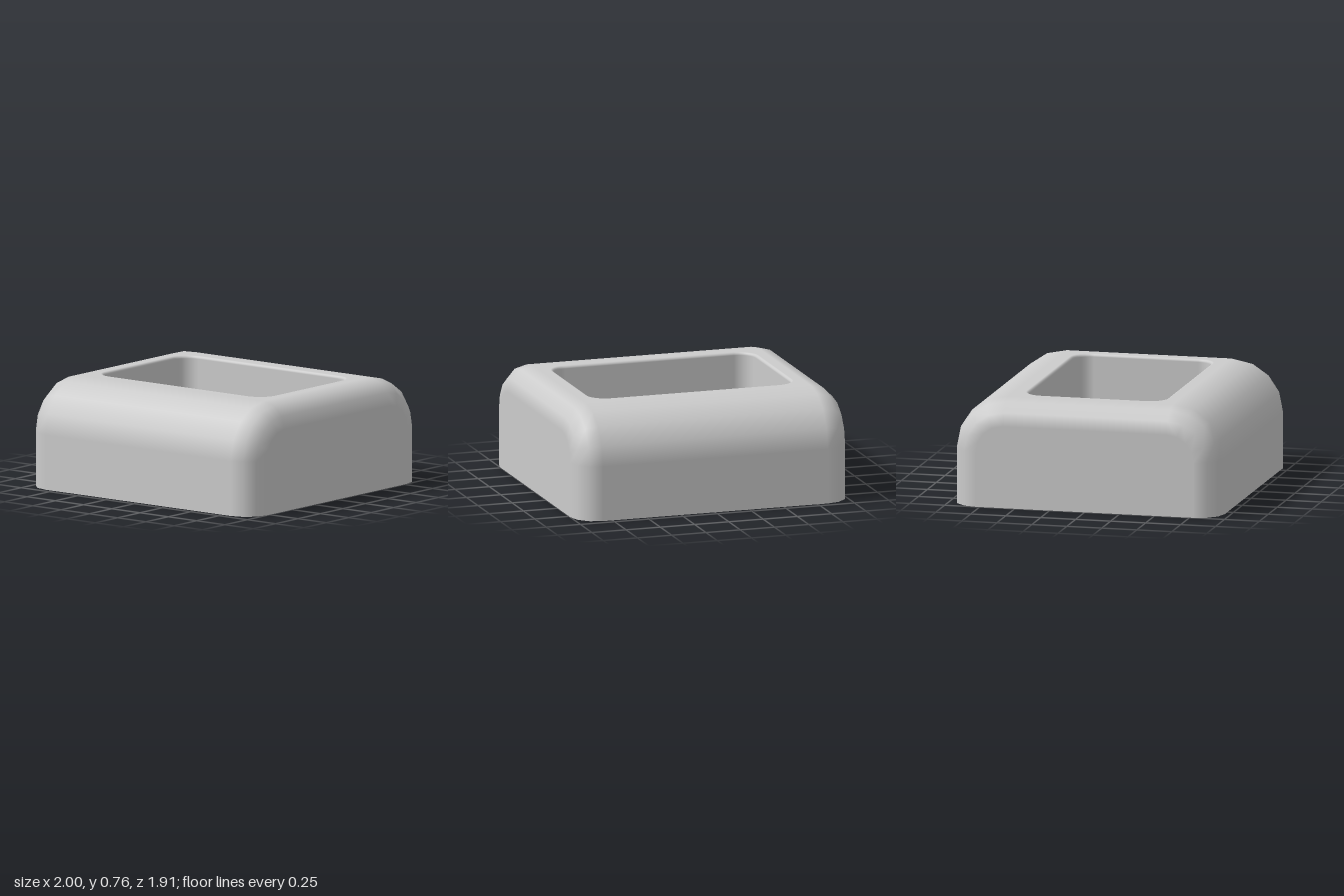
import * as THREE from 'three';

const HALF_X = 1, HALF_Z = 0.957, HEIGHT = 0.757;
const ARCH_R = 0.37;  // front and back top rounding
const END_R = 0.18;   // rounding toward the two ends
const HOLE_X = 0.735, HOLE_Z = 0.492, HOLE_R = 0.12, LIP = 0.02;

// Skin rows of { p, n } points; skip(i, j) leaves quads open
function loft(rows, skip = () => false) {
  const pos = [], nor = [], index = [], w = rows[0].length;
  rows.flat().forEach(({ p, n }) => { pos.push(...p); nor.push(...n); });
  for (let i = 0; i < rows.length - 1; i++) {
    for (let j = 0; j < w - 1; j++) {
      if (skip(i, j)) continue;
      const a = i * w + j, b = a + w;
      index.push(a, b, b + 1, a, b + 1, a + 1);
    }
  }
  const g = new THREE.BufferGeometry();
  g.setAttribute('position', new THREE.Float32BufferAttribute(pos, 3));
  g.setAttribute('normal', new THREE.Float32BufferAttribute(nor, 3));
  g.setIndex(index);
  return g;
}

// Arch cross-section: arc centre (z, y) and outward direction, front to back
function archProfile() {
  const cz = HALF_Z - ARCH_R, cy = HEIGHT - ARCH_R, pts = [];
  pts.push({ z: cz, y: 0, nz: 1, ny: 0 });
  for (const side of [1, -1]) {
    for (let k = 0; k <= 4; k++) {
      const t = (side > 0 ? k : 4 - k) * Math.PI / 8;
      pts.push({ z: side * cz, y: cy, nz: side * Math.cos(t), ny: Math.sin(t) });
    }
  }
  pts.push({ z: -cz, y: 0, nz: -1, ny: 0 });
  return pts;
}

// Rounded rectangle of the opening, grown outward by e
function holeOutline(e) {
  const pts = [];
  for (let q = 0; q < 4; q++) {
    const sx = q === 0 || q === 3 ? 1 : -1, sz = q < 2 ? 1 : -1;
    for (let k = 0; k <= 6; k++) {
      const t = (q + k / 6) * Math.PI / 2, nx = Math.cos(t), nz = Math.sin(t);
      pts.push({
        x: sx * (HOLE_X - HOLE_R) + (HOLE_R + e) * nx,
        z: sz * (HOLE_Z - HOLE_R) + (HOLE_R + e) * nz, nx, nz,
      });
    }
  }
  return pts;
}

export function createModel() {
  const group = new THREE.Group();
  group.name = 'recessedHousing';
  const grey = new THREE.MeshStandardMaterial({ color: 0xcccccc, side: THREE.DoubleSide });
  grey.name = 'lightGrey';
  const add = (name, geometry) => {
    const mesh = new THREE.Mesh(geometry, grey);
    mesh.name = name;
    group.add(mesh);
    return mesh;
  };

  // Outer shell: arch sections along x, shrinking around both ends
  const profile = archProfile();
  const section = (side, a) => {
    const r = ARCH_R - END_R * (1 - Math.cos(a));
    return profile.map(q => ({
      p: [side * (HALF_X - END_R + END_R * Math.sin(a)), q.y + r * q.ny, q.z + r * q.nz],
      n: [side * Math.sin(a), Math.cos(a) * q.ny, Math.cos(a) * q.nz],
    }));
  };
  const rows = [];
  for (let k = 3; k >= 0; k--) rows.push(section(-1, k * Math.PI / 6));
  for (let k = 0; k <= 3; k++) rows.push(section(1, k * Math.PI / 6));
  add('outerShell', loft(rows, (i, j) => i === 3 && j === 5));

  // Flat end walls
  const capR = ARCH_R - END_R;
  const capShape = new THREE.Shape(profile.map(q =>
    new THREE.Vector2(q.z + capR * q.nz, q.y + capR * q.ny)));
  for (const side of [1, -1]) {
    const cap = new THREE.ShapeGeometry(capShape);
    cap.rotateY(side * Math.PI / 2);
    cap.translate(side * HALF_X, 0, 0);
    add(side > 0 ? 'leftEndWall' : 'rightEndWall', cap);
  }

  // Flat top around the opening
  const tx = HALF_X - END_R, tz = HALF_Z - ARCH_R;
  const toVec = q => new THREE.Vector2(q.x, q.z);
  const top = new THREE.Shape([[-tx, -tz], [tx, -tz], [tx, tz], [-tx, tz]]
    .map(c => new THREE.Vector2(...c)));
  top.holes.push(new THREE.Path(holeOutline(LIP).map(toVec)));
  add('topRim', new THREE.ShapeGeometry(top).rotateX(-Math.PI / 2).translate(0, HEIGHT, 0));

  // Pocket: rounded lip, then straight walls down to the base
  const ring = (y, a) => {
    const pts = holeOutline(LIP * (1 - Math.sin(a))).map(q => ({
      p: [q.x, y, q.z],
      n: [-q.nx * Math.sin(a), Math.cos(a), -q.nz * Math.sin(a)],
    }));
    return [...pts, pts[0]];
  };
  const rings = [];
  for (let k = 0; k <= 4; k++) {
    const a = k * Math.PI / 8;
    rings.push(ring(HEIGHT - LIP * (1 - Math.cos(a)), a));
  }
  rings.push(ring(0, Math.PI / 2));
  add('pocketWalls', loft(rings));

  // Pocket floor, level with the base
  const floor = new THREE.ShapeGeometry(new THREE.Shape(holeOutline(0).map(toVec)));
  add('pocketFloor', floor.rotateX(-Math.PI / 2));

  return group;
}
